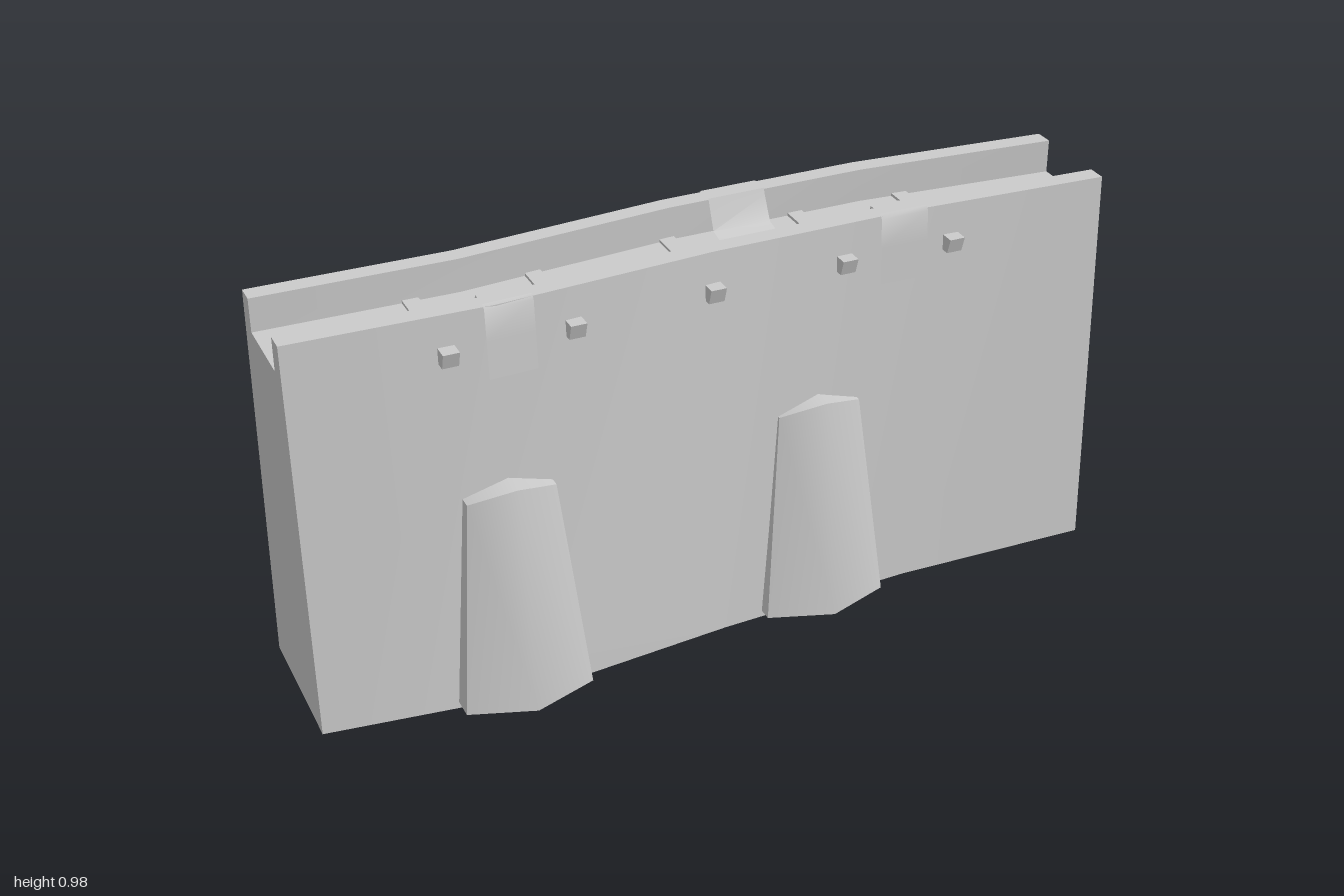
import * as THREE from 'three';
import { toCreasedNormals } from 'three/addons/utils/BufferGeometryUtils.js';

const material = new THREE.MeshStandardMaterial({ color: 0xcccccc, side: THREE.DoubleSide });

// Stations along the wall: x, outer foot (front, back), outer top (front, back)
const STATIONS = [
  [-1, 0.193, -0.168, 0.153, -0.125],
  [-0.53, 0.25, -0.173, 0.166, -0.117],
  [0, 0.202, -0.24, 0.13, -0.163],
  [0.5, 0.18, -0.245, 0.126, -0.166],
  [1, 0.193, -0.168, 0.153, -0.125],
];
const TOP = 0.978, WALK = 0.896, PARAPET = 0.046;

// Interpolated wall measures at any x
function wallAt(x) {
  let i = 0;
  while (i < STATIONS.length - 2 && x > STATIONS[i + 1][0]) i++;
  const a = STATIONS[i], b = STATIONS[i + 1];
  const t = (x - a[0]) / (b[0] - a[0]);
  return a.map((v, k) => v + (b[k] - v) * t);
}

// Outer face z at a given x and height; side is 1 for front, -1 for back
function outerZ(x, y, side) {
  const w = wallAt(x), k = side > 0 ? 1 : 2;
  return w[k] + (w[k + 2] - w[k]) * (y / TOP);
}

// Quads between successive rows of points, as a flat list of triangles
function loft(rows, closed = false) {
  const out = [];
  for (let i = 0; i < rows.length - 1; i++) {
    const a = rows[i], b = rows[i + 1], n = a.length;
    for (let j = 0; j < (closed ? n : n - 1); j++) {
      const k = (j + 1) % n;
      out.push(...a[j], ...b[j], ...b[k], ...a[j], ...b[k], ...a[k]);
    }
  }
  return out;
}

function meshFrom(name, positions, crease) {
  const g = new THREE.BufferGeometry();
  g.setAttribute('position', new THREE.Float32BufferAttribute(positions, 3));
  const mesh = new THREE.Mesh(toCreasedNormals(g, crease), material);
  mesh.name = name;
  return mesh;
}

// Hollow curtain wall: U-topped section, open underneath, closed ends
function makeWall() {
  const rows = STATIONS.map(([x, ff, fb, tf, tb]) => [
    [x, 0, ff], [x, TOP, tf], [x, TOP, tf - PARAPET], [x, WALK, tf - PARAPET],
    [x, WALK, tb + PARAPET], [x, TOP, tb + PARAPET], [x, TOP, tb], [x, 0, fb],
  ]);
  const positions = loft(rows);
  for (const end of [rows[0], rows[rows.length - 1]]) {
    const contour = end.map((p) => new THREE.Vector2(p[2], p[1]));
    const sign = end[0][0];
    for (const f of THREE.ShapeUtils.triangulateShape(contour, [])) {
      const [a, b, c] = f.map((i) => contour[i]);
      // (z, y) winding runs clockwise when seen from +x outward
      const ccw = (b.x - a.x) * (c.y - a.y) - (b.y - a.y) * (c.x - a.x) > 0;
      const order = ccw === sign < 0 ? f : [f[0], f[2], f[1]];
      order.forEach((i) => positions.push(...end[i]));
    }
  }
  return meshFrom('curtainWall', positions, 0.5);
}

// Tapered buttress running through the wall, pointed front and back, ridged top
function makeButtress(cx, cz) {
  const ring = (w, apex, side, yApex, ySide, y0) => [
    [cx + w, ySide, y0 + side], [cx, yApex, y0 + apex], [cx - w, ySide, y0 + side],
    [cx - w, ySide, y0 - side], [cx, yApex, y0 - apex], [cx + w, ySide, y0 - side],
  ];
  const bottom = ring(0.155, 0.309, 0.256, 0.016, 0.016, cz);
  const top = ring(0.105, 0.233, 0.194, 0.566, 0.532, cz);
  const positions = loft([bottom, top], true);
  positions.push(...loft([[top[5], top[0]], [top[4], top[1]], [top[3], top[2]]]));
  return meshFrom('buttress', positions, 0.8);
}

// Floor beam crossing the wall with undercut ends
function makeBeam(x) {
  const f = outerZ(x, 0.9, 1), b = outerZ(x, 0.9, -1);
  const shape = new THREE.Shape([
    [b - 0.022, 0.865], [f + 0.022, 0.865], [f + 0.034, 0.903], [b - 0.034, 0.903],
  ].map((p) => new THREE.Vector2(...p)));
  const g = new THREE.ExtrudeGeometry(shape, { depth: 0.038, bevelEnabled: false });
  g.rotateY(-Math.PI / 2).translate(x + 0.019, 0, 0);
  const mesh = new THREE.Mesh(g, material);
  mesh.name = 'floorBeam';
  return mesh;
}

// Thin cover draped over a parapet, from the outer face to the walkway
function makeDrape({ x0, x1, side, ends, skew = 0 }) {
  const rows = [x0, x1].map((x, i) => {
    const off = 0.004 * side;
    const out = (y) => outerZ(x, y, side) + off;
    const inner = outerZ(x, TOP, side) - PARAPET * side;
    const foot = inner + (ends[i] - inner) * 0.45;
    return [
      [x, 0.81, out(0.81)], [x, 0.9, out(0.9)], [x, 0.972, out(0.972)],
      [x, 0.983, out(TOP) - off * 2], [x, 0.983, inner - off],
      [x, 0.968, inner - off * 2.5], [x + skew * 0.4, 0.912, foot],
      [x + skew, WALK + 0.006, ends[i]],
    ];
  });
  if (side < 0) rows.reverse();
  return meshFrom('parapetDrape', loft(rows), 0.9);
}

export function createModel() {
  const group = new THREE.Group();
  group.name = 'wallSection';
  group.add(makeWall());
  group.add(makeButtress(-0.532, 0.026), makeButtress(0.255, -0.026));
  for (const x of [-0.645, -0.352, -0.008, 0.325, 0.602]) group.add(makeBeam(x));
  const drapes = [
    { x0: -0.557, x1: -0.443, side: 1, ends: [0.02, 0.06], skew: -0.035 },
    { x0: 0.42, x1: 0.54, side: 1, ends: [-0.04, -0.04] },
    { x0: 0.097, x1: 0.24, side: -1, ends: [-0.045, -0.03] },
  ];
  for (const d of drapes) group.add(makeDrape(d));
  return group;
}
